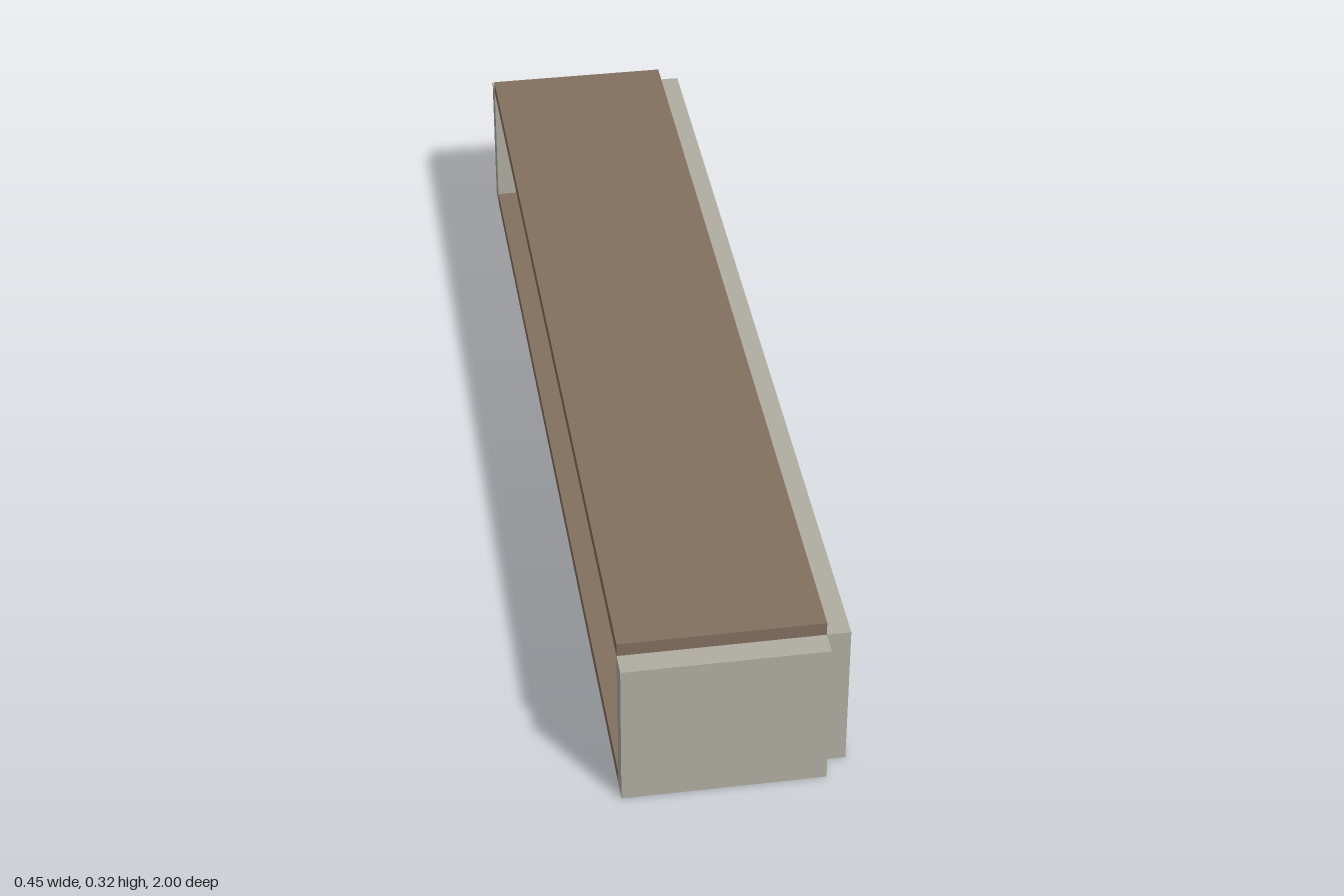
import * as THREE from 'three';

const material = (name, color) => {
  const m = new THREE.MeshStandardMaterial({ color });
  m.name = name;
  return m;
};

export function createModel() {
  const wall = material('plaster', 0xb0ada2);
  const brown = material('brown wood', 0x836f5f);
  const tan = material('tan wood', 0xa5855c);
  const glass = material('pale glass', 0xc3c5cf);

  const model = new THREE.Group();
  model.name = 'longHouse';

  // Box given by its lower and upper limits on each axis
  const box = (name, mat, [x0, x1], [y0, y1], [z0, z1], parent = model) => {
    const mesh = new THREE.Mesh(new THREE.BoxGeometry(x1 - x0, y1 - y0, z1 - z0), mat);
    mesh.position.set((x0 + x1) / 2, (y0 + y1) / 2, (z0 + z1) / 2);
    mesh.name = name;
    parent.add(mesh);
    return mesh;
  };

  const back = -0.225, inner = 0.141, outer = 0.184;
  const top = 0.292, end = 0.956;

  // Shell: floor, roof, long wall and two end walls; the -x side stays open
  box('floor', brown, [back, inner], [0, 0.026], [-end, end]);
  box('roof', brown, [back, inner], [top, 0.318], [-end, end]);
  box('longWall', wall, [inner, outer], [0, top], [-end, end]);
  box('frontEndWall', wall, [back, inner], [0, top], [end, 1]);
  box('backEndWall', wall, [back, inner], [0, top], [-1, -end]);

  // Ceiling joists, their ends showing under the open edge of the roof
  for (let i = 0; i < 7; i++) {
    const z = -0.69 + i * 0.228;
    box('joist', brown, [back + 0.01, inner], [0.27, top], [z - 0.018, z + 0.018]);
  }

  // Doors, each with a lintel and a step
  [[0.63, brown], [0.21, tan], [-0.207, brown], [-0.538, brown]].forEach(([z, leaf]) => {
    const entrance = new THREE.Group();
    entrance.name = 'entrance';
    model.add(entrance);
    box('door', leaf, [outer, 0.195], [0.03, 0.219], [z - 0.046, z + 0.046], entrance);
    box('lintel', brown, [outer, 0.189], [0.219, 0.231], [z - 0.057, z + 0.057], entrance);
    box('step', brown, [outer, 0.224], [0, 0.03], [z - 0.042, z + 0.042], entrance);
  });

  // Window pane and sill
  box('windowPane', glass, [outer, 0.1855], [0.158, 0.258], [-0.855, -0.747]);
  box('windowSill', brown, [outer, 0.19], [0.15, 0.158], [-0.863, -0.737]);

  return model;
}
